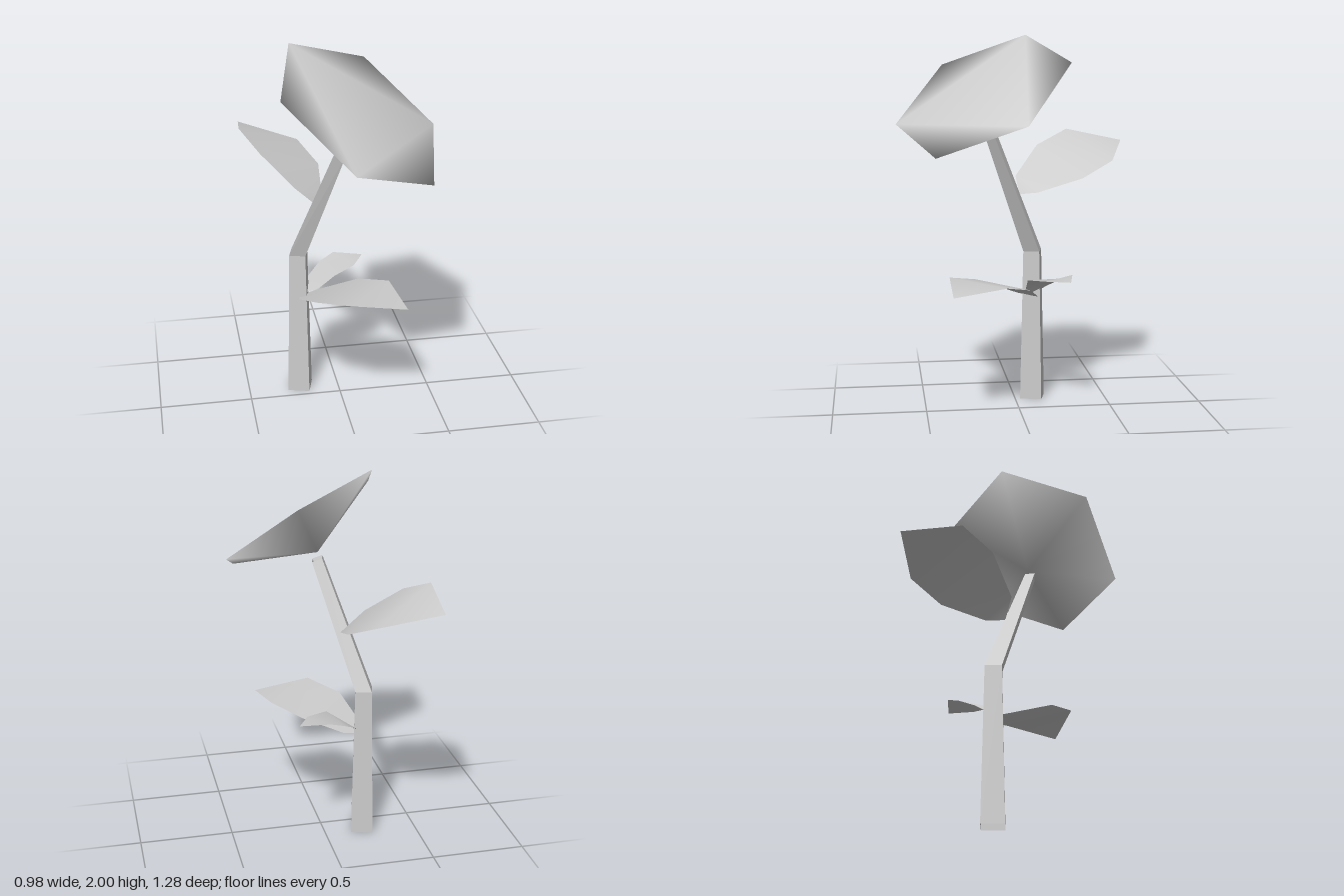
import * as THREE from 'three';

const grey = () => new THREE.MeshStandardMaterial({ color: 0xcccccc, side: THREE.DoubleSide });

function surface(name, points, index, creased = false) {
  let geo = new THREE.BufferGeometry();
  geo.setAttribute('position', new THREE.Float32BufferAttribute(points.flat(), 3));
  geo.setIndex(index);
  if (creased) geo = geo.toNonIndexed();
  geo.computeVertexNormals();
  const mesh = new THREE.Mesh(geo, grey());
  mesh.name = name;
  return mesh;
}

// Leaf: base point, pairs of left/right edge points, then the tip
function leaf(name, base, pairs, tip) {
  const points = [base, ...pairs.flat(), tip];
  const index = [0, 2, 1];
  for (let i = 0; i < pairs.length - 1; i++) {
    const l = 1 + i * 2;
    index.push(l, l + 1, l + 3, l, l + 3, l + 2);
  }
  const last = points.length - 1;
  index.push(last - 2, last - 1, last);
  return surface(name, points, index);
}

// Four-sided tapering open stem: each ring is a turned square
function stem() {
  const rings = [
    { c: [-0.212, 0, -0.1], r: 0.084, tilt: 0 },
    { c: [-0.212, 0.83, -0.1], r: 0.062, tilt: 0 },
    { c: [-0.017, 1.492, 0.15], r: 0.037, tilt: -0.4 },
  ];
  const points = [], index = [];
  for (const { c, r, tilt } of rings) {
    for (let i = 0; i < 4; i++) {
      const a = Math.PI / 6 + i * Math.PI / 2;
      const dx = r * Math.cos(a), dz = -r * Math.sin(a);
      points.push([c[0] + dx, c[1] + dx * tilt, c[2] + dz]);
    }
  }
  for (let k = 0; k < 2; k++) {
    for (let i = 0; i < 4; i++) {
      const a = k * 4 + i, b = k * 4 + (i + 1) % 4;
      index.push(a, b, b + 4, a, b + 4, a + 4);
    }
  }
  return surface('stem', points, index, true);
}

// Tilted six-sided cone: flat face on top, point resting above the stem
function flowerHead() {
  const c = new THREE.Vector3(0.068, 1.7, 0.196);
  const u = new THREE.Vector3(0.102, 0.16, -0.445);
  const w = new THREE.Vector3(0.317, -0.3, 0.262);
  const spokes = [[1, 0], [1, 1], [0, 1], [-1, 0], [-1, -1], [0, -1]];
  const points = spokes.map(([a, b]) =>
    c.clone().addScaledVector(u, a).addScaledVector(w, b).toArray());
  points.push([-0.016, 1.53, 0.14]);
  const index = [1, 5, 3, 1, 0, 5, 3, 2, 1, 5, 4, 3];
  for (let i = 0; i < 6; i++) index.push(i, (i + 1) % 6, 6);
  return surface('flowerHead', points, index);
}

export function createModel() {
  const plant = new THREE.Group();
  plant.name = 'flower';
  plant.add(
    stem(),
    flowerHead(),
    leaf('upperBackLeaf', [-0.14, 1.15, -0.02], [
      [[-0.235, 1.24, -0.01], [-0.08, 1.165, -0.11]],
      [[-0.4, 1.393, -0.15], [-0.06, 1.24, -0.35]],
      [[-0.49, 1.475, -0.33], [-0.15, 1.325, -0.53]],
    ], [-0.467, 1.41, -0.64]),
    leaf('lowerBackLeaf', [-0.18, 0.59, -0.09], [
      [[-0.15, 0.645, -0.18], [-0.11, 0.63, -0.05]],
      [[-0.075, 0.695, -0.25], [-0.02, 0.7, -0.05]],
      [[0.01, 0.73, -0.287], [0.1, 0.715, -0.13]],
    ], [0.168, 0.72, -0.253]),
    leaf('lowerFrontLeaf', [-0.2, 0.575, -0.1], [
      [[-0.1, 0.593, -0.115], [-0.225, 0.59, -0.02]],
      [[0.11, 0.672, -0.05], [-0.16, 0.685, 0.22]],
      [[0.25, 0.715, 0.09], [-0.01, 0.728, 0.37]],
    ], [0.293, 0.68, 0.37]),
  );
  return plant;
}
